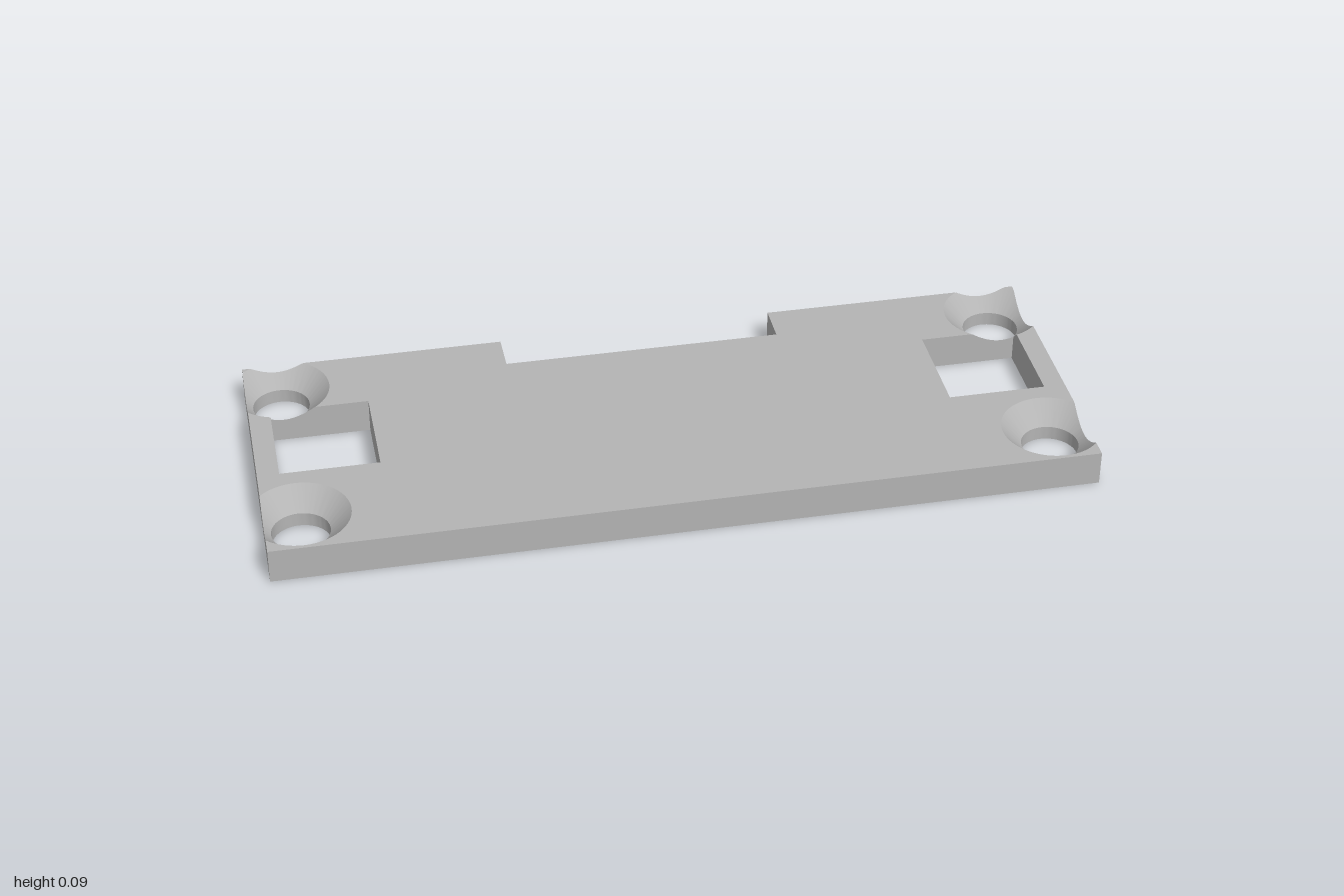
import * as THREE from 'three';
import { toCreasedNormals } from 'three/addons/utils/BufferGeometryUtils.js';

const H = 0.087, D = 0.377;                          // plate thickness, half depth
const NX = 0.347, NZ = -0.275;                       // rear notch
const W = { x0: 0.705, x1: 0.947, z0: -0.18, z1: 0.08 }; // square window
const R0 = 0.07, R1 = 0.122, Y0 = H - (R1 - R0);     // bore and 45 degree countersink
const CX = 0.914, FZ = 0.246, BZ = -0.274;           // screw hole centres
const V = (x, z) => new THREE.Vector2(x, z);

// Height of the solid at a point: flat top lowered by the countersink cones
function height(x, z) {
  const r = Math.min(Math.hypot(x - CX, z - FZ), Math.hypot(x - CX, z - BZ));
  return Math.min(H, Y0 + Math.max(0, r - R0));
}

function arc(cz, r, a0, a1, n = 48) {
  return Array.from({ length: n + 1 }, (_, i) => {
    const a = a0 + (a1 - a0) * i / n;
    return V(CX + r * Math.cos(a), cz + r * Math.sin(a));
  });
}

// Collects triangles for the +x half and mirrors each one to -x
class HalfBuilder {
  constructor() { this.pos = []; }
  tri(a, b, c) {
    this.pos.push(...a, ...b, ...c);
    for (const p of [a, c, b]) this.pos.push(-p[0], p[1], p[2]);
  }
  // Triangle turned to face up (1) or down (-1)
  facing(a, b, c, dir) {
    const s = (b[0] - a[0]) * (c[2] - a[2]) - (b[2] - a[2]) * (c[0] - a[0]);
    if (s * dir < 0) this.tri(a, b, c); else this.tri(a, c, b);
  }
  flat(contour, holes, y, dir) {
    const all = [contour, ...holes].flat().map(p => [p.x, y, p.y]);
    for (const [a, b, c] of THREE.ShapeUtils.triangulateShape(contour, holes))
      this.facing(all[a], all[b], all[c], dir);
  }
  // Vertical wall along a path, its top following the height rule
  wall(path, top = height) {
    for (let k = 0; k < path.length - 1; k++) {
      const n = Math.ceil(path[k].distanceTo(path[k + 1]) / 0.008);
      for (let i = 0; i < n; i++) {
        const p = path[k].clone().lerp(path[k + 1], i / n);
        const q = path[k].clone().lerp(path[k + 1], (i + 1) / n);
        const p1 = [p.x, top(p.x, p.y), p.y], q1 = [q.x, top(q.x, q.y), q.y];
        this.tri([p.x, 0, p.y], [q.x, 0, q.y], q1);
        this.tri([p.x, 0, p.y], q1, p1);
      }
    }
  }
  // Conical strip between two radii given as functions of the angle
  cone(cz, a0, a1, n, inner, outer) {
    const pt = (a, r) => [CX + r * Math.cos(a), Y0 + r - R0, cz + r * Math.sin(a)];
    for (let i = 0; i < n; i++) {
      const a = a0 + (a1 - a0) * i / n, b = a0 + (a1 - a0) * (i + 1) / n;
      const p = pt(a, inner(a)), q = pt(b, inner(b)), r = pt(b, outer(b)), s = pt(a, outer(a));
      this.facing(p, q, r, 1);
      this.facing(p, r, s, 1);
    }
  }
  mesh(name, material) {
    const g = new THREE.BufferGeometry();
    g.setAttribute('position', new THREE.Float32BufferAttribute(this.pos, 3));
    const m = new THREE.Mesh(toCreasedNormals(g, 0.5), material);
    m.name = name;
    return m;
  }
}

export function createModel() {
  const group = new THREE.Group();
  group.name = 'mountingPlate';
  const grey = new THREE.MeshStandardMaterial({ color: 0xb4b4b4 });
  grey.name = 'plain grey';

  const outline = [V(0, D), V(1, D), V(1, -D), V(NX, -D), V(NX, NZ), V(0, NZ)];
  const window = [V(W.x1, W.z0), V(W.x1, W.z1), V(W.x0, W.z1), V(W.x0, W.z0)];
  const bores = [FZ, BZ].map(z => arc(z, R0, 0, Math.PI * 2, 64));

  // Underside
  const under = new HalfBuilder();
  under.flat(outline, [window, ...bores.map(b => b.slice(0, -1))], 0, -1);
  group.add(under.mesh('underside', grey));

  // Outer edges and window walls
  const edges = new HalfBuilder();
  edges.wall(outline);
  edges.wall([...window, window[0]]);
  group.add(edges.mesh('edgeWalls', grey));

  // Angles where the countersink rims meet the plate edges and the window
  const side = Math.acos((1 - CX) / R1);
  const back = Math.asin((-D - BZ) / R1);
  const rib = Math.acos((W.x1 - CX) / R1);
  const sill = Math.PI - Math.asin((W.z0 - BZ) / R1);

  // Top face, with the small corner left outside the rear countersink
  const top = new HalfBuilder();
  top.flat([
    V(0, D), V(1, D),
    ...arc(FZ, R1, side, Math.PI * 2 - side),
    ...arc(BZ, R1, side, rib, 8),
    V(W.x1, W.z1), V(W.x0, W.z1), V(W.x0, W.z0),
    ...arc(BZ, R1, sill, Math.PI - back, 32),
    V(NX, -D), V(NX, NZ), V(0, NZ),
  ], [], H, 1);
  top.flat([V(1, -D), ...arc(BZ, R1, back, -side, 12)], [], H, 1);
  group.add(top.mesh('topFace', grey));

  // Countersinks, cut short at the plate edges and the window
  const sinks = new HalfBuilder();
  const sideLimit = a => Math.cos(a) > 0 ? Math.min(R1, (1 - CX) / Math.cos(a)) : R1;
  const rearLimit = a => {
    let r = sideLimit(a);
    const s = Math.sin(a);
    if (s < 0) r = Math.min(r, (BZ + D) / -s);
    if (s > 0) {
      const t = (W.z0 - BZ) / s;
      if (CX + t * Math.cos(a) < W.x1) r = Math.min(r, t);
    }
    return r;
  };
  const corner = Math.atan2(W.z0 - BZ, W.x1 - CX);
  sinks.cone(FZ, 0, Math.PI * 2, 144, () => R0, sideLimit);
  sinks.cone(BZ, corner + 1e-4, corner + Math.PI * 2 - 1e-4, 144, () => R0, rearLimit);
  sinks.cone(BZ, corner, rib, 6, a => (W.x1 - CX) / Math.cos(a), () => R1);
  group.add(sinks.mesh('countersinks', grey));

  // Straight screw bores
  const holes = new HalfBuilder();
  for (const b of bores) holes.wall(b, () => Y0);
  group.add(holes.mesh('screwBores', grey));

  return group;
}
